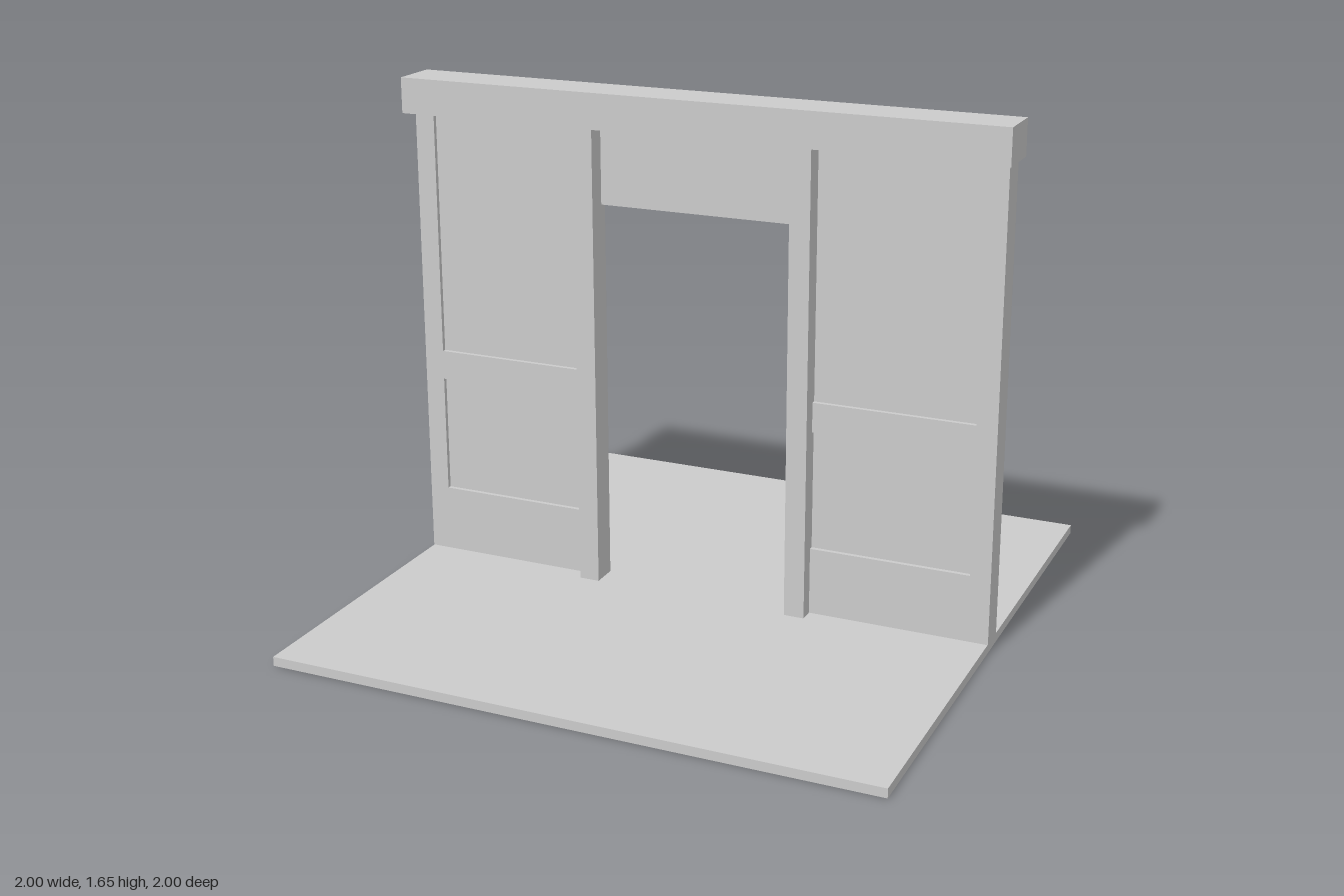
import * as THREE from 'three';

export function createModel() {
  const group = new THREE.Group();
  const material = new THREE.MeshStandardMaterial({ color: 0xcccccc, flatShading: true });

  // Box given by its limits on each axis
  function box(name, [x0, x1], [y0, y1], [z0, z1]) {
    const mesh = new THREE.Mesh(new THREE.BoxGeometry(x1 - x0, y1 - y0, z1 - z0), material);
    mesh.position.set((x0 + x1) / 2, (y0 + y1) / 2, (z0 + z1) / 2);
    mesh.name = name;
    group.add(mesh);
  }

  const floorTop = 0.03, wallTop = 1.54;
  const frameZ = [-0.04, 0.05];

  box('floor', [-0.982, 0.982], [0, floorTop], [-1, 1]);
  box('topBeam', [-1, 1], [wallTop, 1.655], [-0.057, 0.103]);

  // Recessed wall panel with the doorway cut out from below
  const outline = [
    [-0.93, floorTop], [-0.395, floorTop], [-0.395, 1.29], [0.395, 1.29],
    [0.395, floorTop], [0.93, floorTop], [0.93, wallTop], [-0.93, wallTop],
  ].map(([x, y]) => new THREE.Vector2(x, y));
  const panel = new THREE.Mesh(
    new THREE.ExtrudeGeometry(new THREE.Shape(outline), { depth: 0.062, bevelEnabled: false }),
    material
  );
  panel.position.z = -0.026;
  panel.name = 'wallPanel';
  group.add(panel);

  // Posts and rails, mirrored on both sides of the doorway
  for (const [side, s] of [['left', 1], ['right', -1]]) {
    const span = (a, b) => (s > 0 ? [a, b] : [-b, -a]);
    box(side + 'OuterPost', span(0.917, 0.983), [floorTop, wallTop], frameZ);
    box(side + 'DoorPost', span(0.328, 0.395), [floorTop, wallTop], [0.01, 0.098]);
    box(side + 'MiddleRail', span(0.395, 0.917), [0.64, 0.737], frameZ);
    box(side + 'BottomRail', span(0.395, 0.917), [floorTop, 0.25], frameZ);
  }

  return group;
}
